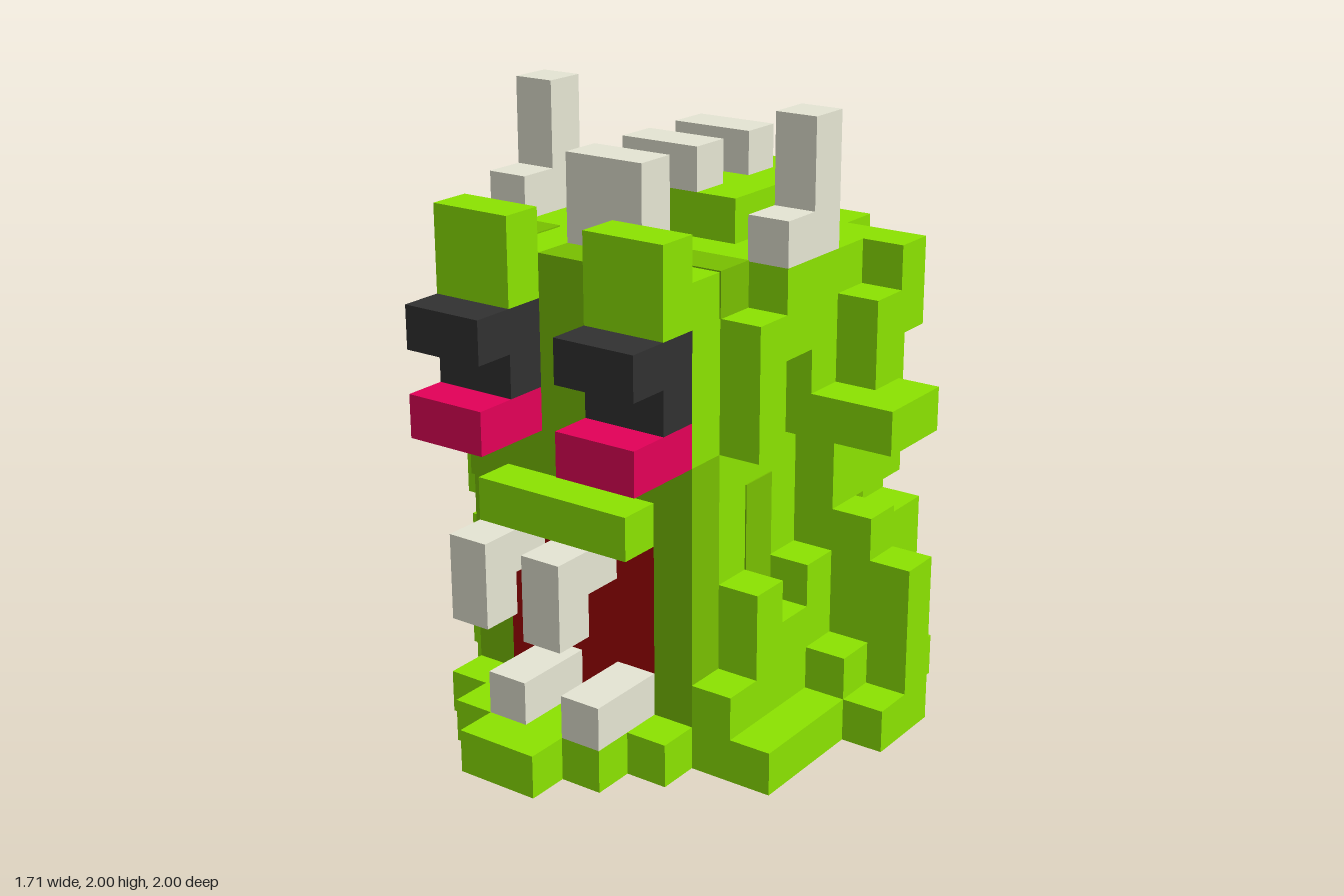
import * as THREE from 'three';

const U = 1 / 7; // one block
const paint = (name, color) => Object.assign(new THREE.MeshStandardMaterial({ color }), { name });

export function createModel() {
  const model = new THREE.Group();
  model.name = 'blockMonster';
  const lime = paint('lime green', 0x8ce400);
  const moss = paint('moss green', 0x79c000);
  const bone = paint('bone', 0xe6e6d4);
  const black = paint('eye black', 0x313131);
  const pink = paint('cheek pink', 0xe40058);
  const red = paint('mouth red', 0xa30000);

  // Each box is [x0, x1, y0, y1, z0, z1] in block units
  function part(name, material, boxes) {
    const group = new THREE.Group();
    group.name = name;
    for (const [x0, x1, y0, y1, z0, z1] of boxes) {
      const mesh = new THREE.Mesh(new THREE.BoxGeometry((x1 - x0) * U, (y1 - y0) * U, (z1 - z0) * U), material);
      mesh.position.set((x0 + x1) * U / 2, (y0 + y1) * U / 2, (z0 + z1) * U / 2);
      mesh.name = name + 'Block';
      group.add(mesh);
    }
    model.add(group);
  }
  // Same box on both sides
  const both = (b) => [b, [-b[1], -b[0], ...b.slice(2)]];

  // Ragged skirt on the ground: [x0, x1, z0, z1]
  part('skirt', lime, [
    [-4, -3, -7, -6], [-1, 1, -7, -5], [-5, -3, -6, -5], [-5, 3, -5, -4], [-4, 4, -4, -3],
    [-5, 5, -3, -2], [-6, 5, -2, -1], [-6, 6, -1, 1], [-5, 5, 1, 2], [-4, 5, 2, 3],
    [-3, 5, 3, 4], [-3, 3, 4, 5], [-2, 2, 5, 6], [-1, 1, 6, 7],
  ].map(([x0, x1, z0, z1]) => [x0, x1, 0, 1, z0, z1]));

  // Main trunk, the hump on top and the steps behind
  part('body', lime, [
    [-3, 3, 1, 11, -3, 3], [-3, 2, 1, 10, -4, -3], [2, 3, 1, 9, -4, -3], [-2, 2, 11, 12, -3, 1],
    [-1, 1, 1, 3, -5, -4], [2, 3, 1, 2, -5, -4],
  ]);

  // Shaggy blocks on the left flank: inner layer, then outer
  part('leftFur', lime, [
    [3, 4, 7, 10, 2, 3], [3, 4, 9, 10, 1, 2], [3, 4, 10, 11, -2, 2], [3, 4, 7, 10, 0, 1],
    [3, 4, 4, 10, -1, 0], [3, 4, 8, 10, -2, -1], [3, 4, 5, 10, -3, -2], [3, 4, 5, 7, -2, -1],
    [3, 4, 1, 4, 2, 3], [3, 4, 1, 3, 1, 2], [3, 4, 1, 4, -2, 1], [3, 4, 3, 4, -3, -2],
    [3, 4, 1, 2, 3, 4], [3, 4, 1, 4, -4, -3],
    [4, 5, 10, 11, -2, -1], [4, 5, 9, 10, -2, 0], [4, 5, 7, 9, -1, 0], [4, 5, 7, 8, 0, 1],
    [5, 6, 7, 8, -1, 1], [4, 5, 4, 5, -1, 0], [4, 6, 1, 4, -1, 0], [4, 5, 1, 2, -2, -1], [4, 5, 1, 2, 0, 1],
  ]);

  // Shaggy blocks and ledges on the right flank: inner layer, then outer
  part('rightFur', lime, [
    [-4, -3, 1, 4, -3, 3], [-4, -3, 5, 10, -3, 2], [-4, -3, 6, 9, 2, 3], [-4, -3, 1, 3, -4, -3],
    [-5, -4, 9, 10, -2, 0], [-5, -4, 7, 9, -3, -2], [-6, -5, 8, 9, -3, -2], [-6, -5, 9, 10, -1, 0],
    [-6, -4, 5, 8, 0, 1], [-6, -4, 7, 8, -1, 0],
    [-5, -4, 4, 7, 1, 2], [-5, -4, 2, 3, -2, 2], [-5, -4, 1, 2, -3, -2],
  ]);

  // Face plate around the mouth and the brow
  part('facePlate', moss, [
    ...both([2, 3, 1, 7, 3, 4]), [-2, 2, 5, 7, 3, 4], [-1, 1, 7, 11, 3, 4],
  ]);
  part('eyeSocket', lime, both([1, 3, 7, 11, 3, 4]));
  part('eyelid', lime, both([1, 3, 10, 12, 4, 5]));
  part('upperLip', lime, [[-2, 2, 5, 6, 4, 5]]);
  part('mouth', red, [[-2, 2, 1, 5, 3, 4]]);

  // Eyes and cheeks
  part('eye', black, [...both([1, 3, 9, 10, 4, 6]), ...both([1, 3, 8, 9, 4, 5])]);
  part('cheek', pink, both([1, 3, 7, 8, 4, 6]));

  // Teeth
  part('upperTooth', bone, [-2, 0].flatMap((x) => [[x, x + 1, 4, 5, 4, 6], [x, x + 1, 3, 4, 5, 6]]));
  part('lowerTooth', bone, [-1, 1].map((x) => [x, x + 1, 1, 2, 4, 6]));

  // Horns with a foot in front; the right one has a longer root
  part('horn', bone, [
    ...both([3, 4, 11, 14, 0, 1]), ...both([3, 4, 11, 12, 1, 2]), [-4, -3, 10, 11, -1, 2],
  ]);

  // Spines from the crown down the back: [y0, y1, z0]
  part('spine', bone, [
    [11, 13, 2], [12, 13, 0], [12, 13, -2], [10, 11, -4], [8, 9, -5], [6, 7, -5], [4, 5, -5], [1, 2, -6],
  ].map(([y0, y1, z]) => [-1, 1, y0, y1, z, z + 1]));

  // Darker patches, a hair proud of the skin, many of them in the hollows
  const e = 0.03;
  part('darkPatch', moss, [
    [1, 3 + e, 10, 11 + e, 2, 3 + e], [-3 - e, -2, 10, 11 + e, 2, 3 + e], [-4, -3, 9, 10, 2, 3],
    [-4, -3, 5, 6, 2, 3], [2, 3 + e, 3, 6, 1, 2], [2, 3 + e, 4, 5, -3, -1],
    [2, 3 + e, 7, 8, -2, -1], [2, 3 + e, 1, 3, -3, -2], [3, 4 + e, 2, 3, -2, -1],
    [2, 3 + e, 8, 9 + e, -4 - e, -3], [2, 3 + e, 6, 7, -4 - e, -3], [-4 - e, -3, 6, 8, -2, -1],
  ]);
  return model;
}
